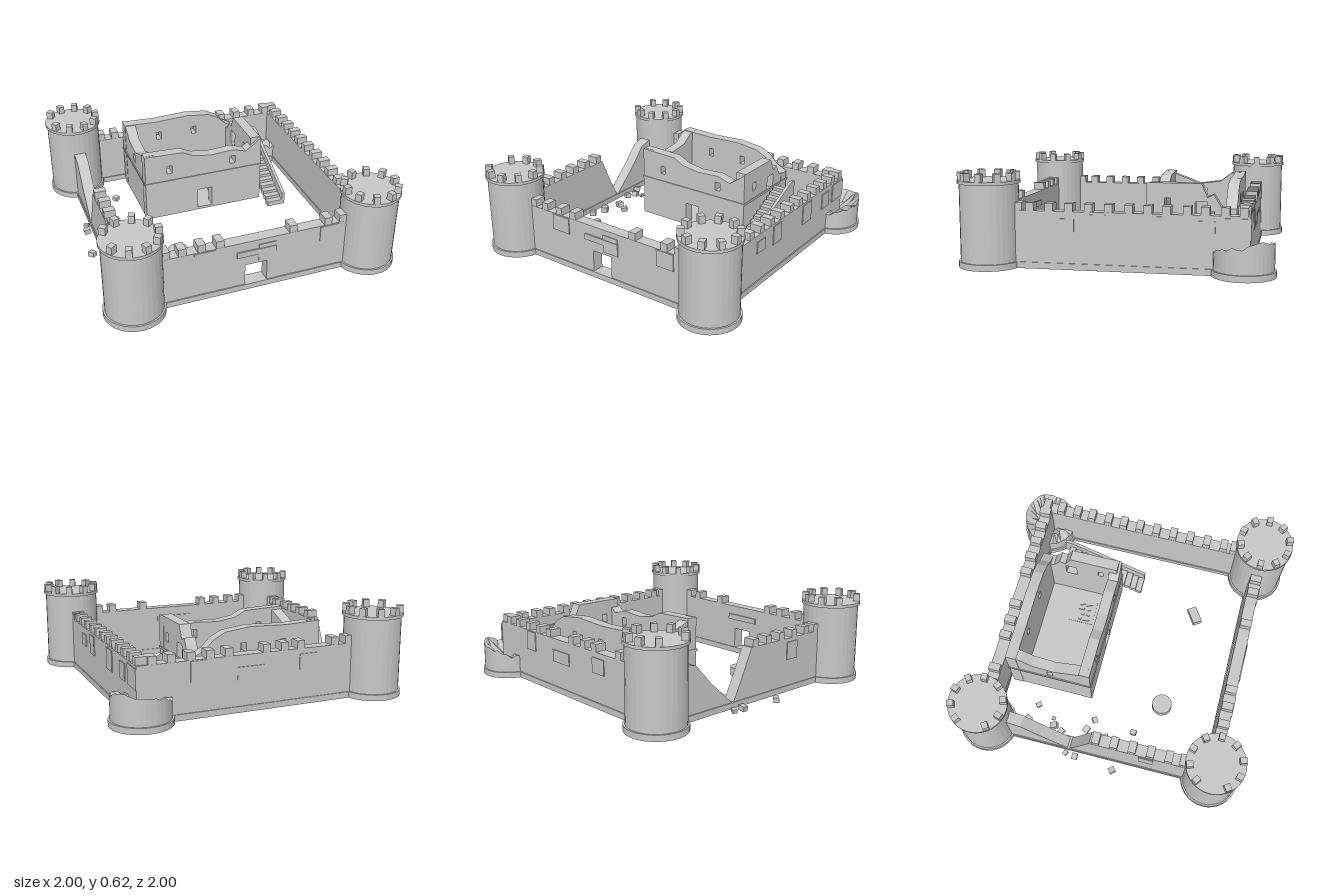
import * as THREE from 'three';

const stone = new THREE.MeshStandardMaterial({ color: 0xc8c8c8, flatShading: true });
stone.name = 'stone';

let seed = 7;
const rand = () => (seed = (seed * 16807) % 2147483647) / 2147483647;

function add(parent, name, geo, x = 0, y = 0, z = 0) {
  const m = new THREE.Mesh(geo, stone);
  m.name = name;
  m.position.set(x, y, z);
  parent.add(m);
  return m;
}

// box given by its bottom height
const block = (parent, name, w, h, d, x, y, z) =>
  add(parent, name, new THREE.BoxGeometry(w, h, d), x, y + h / 2, z);

// upright slab cut from an outline; alongZ turns the outline's x into z
function slab(parent, name, points, holes, thick, x, z, alongZ) {
  const s = new THREE.Shape(points.map(p => new THREE.Vector2(...p)));
  for (const [a, b, c, d] of holes) {
    s.holes.push(new THREE.Path([[a, b], [a, d], [c, d], [c, b]].map(p => new THREE.Vector2(...p))));
  }
  const g = new THREE.ExtrudeGeometry(s, { depth: thick, bevelEnabled: false });
  g.translate(0, 0, -thick / 2);
  if (alongZ) g.rotateY(-Math.PI / 2);
  return add(parent, name, g, x, 0, z);
}

function tower(parent, x, z, skip) {
  const t = new THREE.Group();
  t.name = 'tower';
  t.position.set(x, 0, z);
  parent.add(t);
  add(t, 'towerBase', new THREE.CylinderGeometry(0.198, 0.198, 0.04, 32), 0, 0.05, 0);
  add(t, 'towerBody', new THREE.CylinderGeometry(0.186, 0.186, 0.5, 32), 0, 0.315, 0);
  add(t, 'towerCap', new THREE.CylinderGeometry(0.198, 0.198, 0.02, 32), 0, 0.57, 0);
  for (let i = 0; i < 10; i++) {
    if (i === skip) continue;
    const a = (i / 10) * Math.PI * 2;
    block(t, 'towerMerlon', 0.045, 0.05, 0.04, Math.cos(a) * 0.172, 0.58, Math.sin(a) * 0.172).rotation.y = -a;
  }
}

// collapsed tower: jagged rim falling inward to a rubble bowl
function ruinedTower(parent, x, z) {
  const t = new THREE.Group();
  t.name = 'ruinedTower';
  t.position.set(x, 0, z);
  parent.add(t);
  add(t, 'towerBase', new THREE.CylinderGeometry(0.198, 0.198, 0.04, 32), 0, 0.05, 0);
  const n = 36, pos = [], idx = [];
  const rim = [], inner = [];
  for (let i = 0; i < n; i++) {
    rim.push(0.2 + 0.05 * Math.cos((i / n) * Math.PI * 2 + Math.PI / 4) + (rand() - 0.5) * 0.035);
    inner.push(0.14 + rand() * 0.06);
  }
  const rows = [i => [0.186, 0.05], i => [0.186, rim[i]], i => [0.1 + (i % 3) * 0.02, inner[i]], i => [0.01, 0.11]];
  rows.forEach(row => {
    for (let i = 0; i < n; i++) {
      const a = (i / n) * Math.PI * 2, [r, y] = row(i);
      pos.push(Math.cos(a) * r, y, Math.sin(a) * r);
    }
  });
  for (let k = 0; k < rows.length - 1; k++) {
    for (let i = 0; i < n; i++) {
      const j = (i + 1) % n, p = k * n + i, q = k * n + j;
      idx.push(p, p + n, q, q, p + n, q + n);
    }
  }
  const g = new THREE.BufferGeometry();
  g.setAttribute('position', new THREE.Float32BufferAttribute(pos, 3));
  g.setIndex(idx);
  g.computeVertexNormals();
  add(t, 'brokenShell', g);
}

export function createModel() {
  const castle = new THREE.Group();
  castle.name = 'ruinedCastle';

  // corner towers
  tower(castle, -0.8, 0.8, 5);
  tower(castle, 0.8, 0.8, -1);
  tower(castle, -0.8, -0.8, 5);
  ruinedTower(castle, 0.8, -0.8);

  // curtain walls
  const H = 0.395, B = 0.03;
  slab(castle, 'frontWall', [[-0.7, B], [0.7, B], [0.7, H], [-0.7, H]], [[-0.08, 0.07, 0.07, 0.22]], 0.08, 0, 0.8, false);
  slab(castle, 'backWall', [[-0.7, B], [0.84, B], [0.84, H], [-0.7, H]], [], 0.08, 0, -0.8, false);
  slab(castle, 'rightWall', [[-0.84, B], [0.7, B], [0.7, H], [-0.84, H]], [], 0.08, 0.8, 0, true);
  slab(castle, 'breachedWall', [[-0.7, B], [0.7, B], [0.7, H], [-0.04, H], [-0.12, 0.22], [-0.2, 0.06],
    [-0.4, 0.24], [-0.52, 0.37], [-0.6, H], [-0.7, H]], [], 0.08, -0.8, 0, true);

  // plinths along the wall feet
  for (const s of [-1, 1]) {
    block(castle, 'wallPlinth', 1.3, 0.04, 0.094, 0, B, s * 0.8);
    block(castle, 'wallPlinth', 0.094, 0.04, 1.3, s * 0.8, B, 0);
  }

  // wall merlons
  const merlon = (x, z) => block(castle, 'wallMerlon', 0.052, 0.05, 0.052, x, H, z);
  const thinMerlon = (x, z, alongZ) => {
    const m = merlon(x, z);
    m.scale.set(alongZ ? 1.5 : 1, 1, alongZ ? 1 : 1.5);
  };
  [-0.6, -0.495, -0.37, -0.25, 0.245, 0.49, 0.595].forEach(x => thinMerlon(x, 0.8, false));
  [-0.6, -0.495, -0.25, -0.135, -0.01, 0.245, 0.37, 0.495, 0.62, 0.74].forEach(x => thinMerlon(x, -0.8, false));
  [0.6, 0.525, 0.4, 0.275, 0.15, 0.025, -0.1, -0.22, -0.335, -0.46, -0.57, -0.69, -0.8].forEach(z => thinMerlon(0.8, z, true));
  [0.6, 0.5, 0.375, 0.25, 0.125, 0].forEach(z => thinMerlon(-0.8, z, true));

  // gate lintel
  block(castle, 'gateLintel', 0.27, 0.04, 0.1, -0.005, 0.29, 0.8);

  // patches of facing stone on the outer wall faces
  [[-0.35, 0.14, 0.28, 0.11], [0.07, 0.12, 0.24, 0.12], [0.5, 0.13, 0.28, 0.11]].forEach(([x, w, y, h]) =>
    block(castle, 'wallPatch', w, h, 0.008, x, y, 0.842));
  [[0.29, 0.1, 0.27, 0.08], [0.09, 0.1, 0.25, 0.13], [-0.31, 0.12, 0.24, 0.14], [-0.58, 0.1, 0.25, 0.11],
    [-0.765, 0.16, 0.25, 0.13]].forEach(([z, w, y, h]) => block(castle, 'wallPatch', 0.008, h, w, 0.842, y, z));
  [[-0.3, 0.12, 0.26, 0.1], [0.1, 0.18, 0.24, 0.08], [0.45, 0.1, 0.26, 0.13]].forEach(([x, w, y, h]) =>
    block(castle, 'wallPatch', w, h, 0.008, x, y, -0.842));
  block(castle, 'wallPatch', 0.008, 0.12, 0.1, -0.842, 0.25, 0.35);

  // keep: four broken walls, floor and ledge
  const keep = new THREE.Group();
  keep.name = 'keep';
  castle.add(keep);
  slab(keep, 'keepFrontWall', [[-0.44, B], [0.44, B], [0.44, 0.54], [0.39, 0.5], [0.32, 0.45], [0.22, 0.48], [0.05, 0.47],
    [-0.08, 0.49], [-0.16, 0.53], [-0.44, 0.54]],
  [[-0.05, 0.05, 0.06, 0.2], [-0.28, 0.38, -0.24, 0.44], [0.2, 0.37, 0.24, 0.43]], 0.075, 0, -0.18, false);
  slab(keep, 'keepBackWall', [[-0.44, B], [0.44, B], [0.44, 0.38], [0.36, 0.42], [0.3, 0.48], [0.22, 0.52], [0.05, 0.54],
    [-0.2, 0.53], [-0.44, 0.54]],
  [[-0.2, 0.38, -0.16, 0.44], [0.08, 0.38, 0.12, 0.44]], 0.075, 0, -0.693, false);
  slab(keep, 'keepRightWall', [[-0.7, B], [-0.16, B], [-0.16, 0.54], [-0.5, 0.54], [-0.54, 0.45], [-0.58, 0.47], [-0.63, 0.39], [-0.7, 0.38]],
    [[-0.54, 0.31, -0.46, 0.42], [-0.3, 0.38, -0.26, 0.44]], 0.075, 0.4, 0, true);
  slab(keep, 'keepLeftWall', [[-0.7, B], [-0.16, B], [-0.16, 0.54], [-0.27, 0.5], [-0.4, 0.45], [-0.55, 0.47], [-0.63, 0.53], [-0.7, 0.54]],
    [[-0.45, 0.36, -0.41, 0.42]], 0.075, -0.4, 0, true);
  block(keep, 'keepFloor', 0.87, 0.015, 0.58, 0, B, -0.436);
  for (const s of [-1, 1]) {
    block(keep, 'keepLedge', 0.89, 0.015, 0.012, 0, 0.31, -0.436 + s * 0.294);
    block(keep, 'keepLedge', 0.012, 0.015, 0.59, s * 0.439, 0.31, -0.436);
  }

  // floor hatch with debris
  block(keep, 'floorHatch', 0.185, 0.022, 0.185, 0.197, 0.027, -0.385);
  for (let i = 0; i < 8; i++) {
    block(keep, 'hatchDebris', 0.014, 0.045, 0.02 + rand() * 0.035, 0.13 + (i % 4) * 0.04, 0.014,
      -0.35 - Math.floor(i / 4) * 0.05 + rand() * 0.02).rotation.y = rand() - 0.5;
  }

  // stairs climbing to the keep's side door
  const steps = 13;
  for (let i = 0; i < steps; i++) {
    block(castle, 'stairStep', 0.11, 0.035, 0.044, 0.505, B + i * 0.0215, -0.022 - i * 0.0435);
  }
  slab(castle, 'stairParapet', [[-0.6, 0.27], [0, B], [0, 0.12], [-0.55, 0.38], [-0.6, 0.38]], [], 0.022, 0.571, 0, true);

  // well and crate in the yard
  add(castle, 'well', new THREE.CylinderGeometry(0.07, 0.07, 0.06, 24), -0.37, 0.06, 0.36);
  block(castle, 'crate', 0.12, 0.05, 0.065, 0.36, B, 0.435).rotation.y = 0.6;

  // fallen stones around the breach
  [[-0.71, -0.55, 0.06], [-0.58, -0.5, 0.04], [-0.75, -0.43, 0.05], [-0.7, -0.35, 0.05], [-0.65, -0.37, 0.028],
    [-0.73, -0.29, 0.045], [-0.87, -0.22, 0.035], [-0.88, -0.15, 0.045], [-0.67, -0.12, 0.05], [-0.59, -0.08, 0.042],
    [-0.7, 0.02, 0.055], [-0.73, 0.12, 0.045], [-0.91, 0.13, 0.045], [-0.61, 0.21, 0.042]].forEach(([x, z, s]) => {
    const m = block(castle, 'fallenStone', s, s * 0.75, s * 0.85, x, 0.015, z);
    m.rotation.set((rand() - 0.5) * 0.4, rand() * 3, (rand() - 0.5) * 0.4);
  });

  return castle;
}
